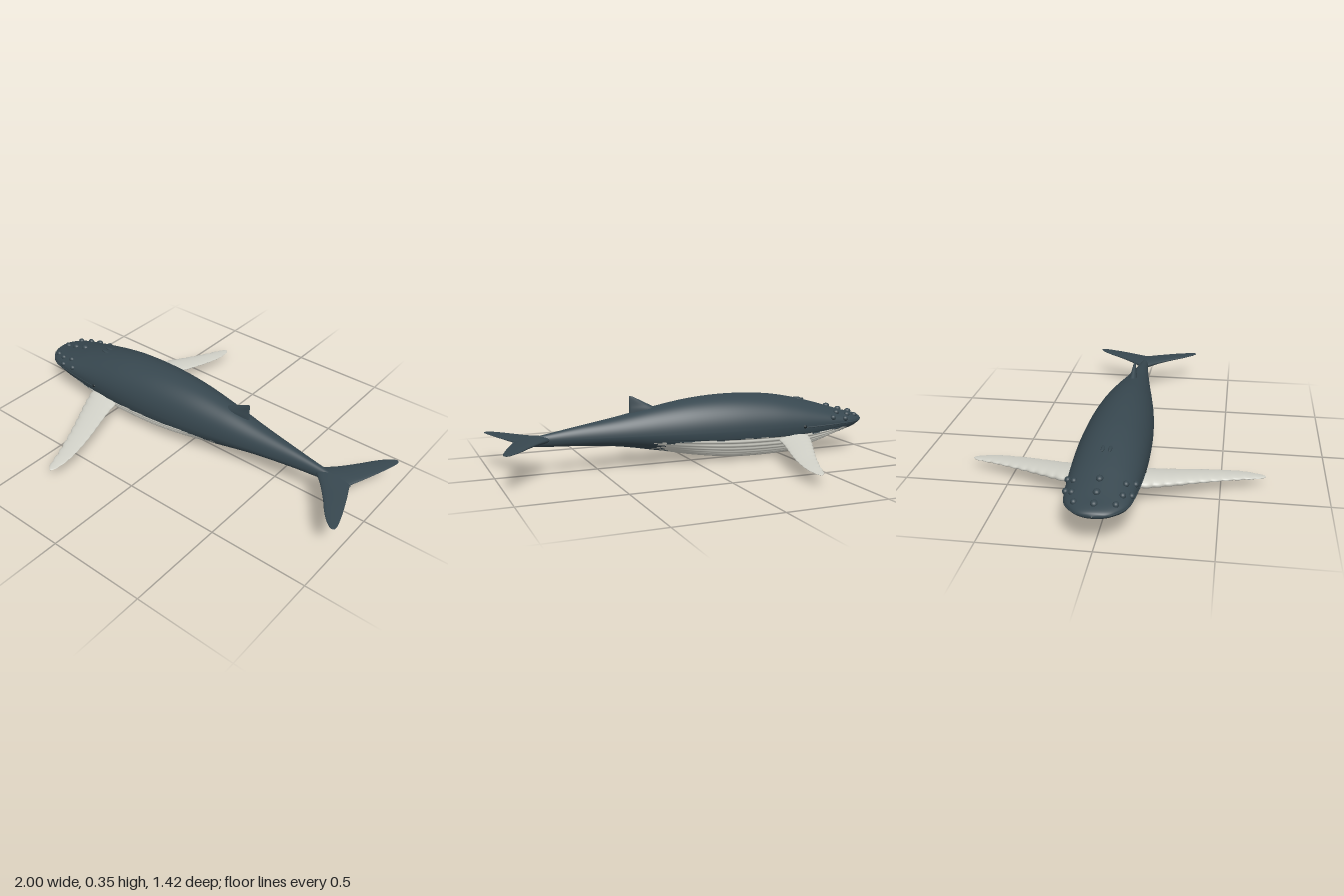
import * as THREE from 'three';

const slate = new THREE.MeshStandardMaterial({ color: 0x37474f, name: 'slate back' });
const pale = new THREE.MeshStandardMaterial({ color: 0xd0d0c7, name: 'pale belly' });
const dark = new THREE.MeshStandardMaterial({ color: 0x1b2529, name: 'dark eye' });

// Body stations: x, top, bottom, half width
const BODY = [
  [-1, 0.174, 0.17, 0.002], [-0.99, 0.188, 0.158, 0.055], [-0.96, 0.2, 0.143, 0.095],
  [-0.9, 0.215, 0.12, 0.135], [-0.8, 0.245, 0.088, 0.152], [-0.7, 0.275, 0.052, 0.16],
  [-0.55, 0.312, 0.016, 0.167], [-0.4, 0.335, 0.007, 0.168], [-0.2, 0.344, 0.013, 0.16],
  [0, 0.333, 0.04, 0.14], [0.2, 0.302, 0.08, 0.109], [0.4, 0.262, 0.115, 0.074],
  [0.6, 0.228, 0.132, 0.042], [0.73, 0.205, 0.139, 0.025], [0.84, 0.187, 0.15, 0.015],
  [0.91, 0.176, 0.172, 0.002],
];
const MID = 0.173;

// Fin sections: span, leading x, trailing x, half thickness, height
const FLIPPER = [
  [0.11, -0.62, -0.44, 0.027, 0.112], [0.17, -0.6, -0.43, 0.025, 0.106], [0.25, -0.565, -0.412, 0.021, 0.099],
  [0.4, -0.49, -0.367, 0.016, 0.085], [0.5, -0.443, -0.342, 0.012, 0.076], [0.6, -0.4, -0.326, 0.009, 0.068],
  [0.67, -0.375, -0.329, 0.006, 0.062], [0.7, -0.36, -0.337, 0.004, 0.06], [0.71, -0.348, -0.345, 0.001, 0.059],
];
const FLUKE = [
  [0, 0.72, 0.905, 0.02, 0.175], [0.03, 0.745, 0.916, 0.018, 0.175], [0.08, 0.795, 0.937, 0.013, 0.176],
  [0.16, 0.86, 0.967, 0.009, 0.177], [0.22, 0.903, 0.987, 0.006, 0.177], [0.265, 0.942, 0.999, 0.004, 0.177],
  [0.288, 0.97, 0.999, 0.003, 0.177], [0.295, 0.987, 0.99, 0.001, 0.177],
];
const DORSAL = [
  [0.25, 0.1, 0.335, 0.025], [0.29, 0.18, 0.332, 0.02], [0.315, 0.23, 0.331, 0.013],
  [0.345, 0.288, 0.331, 0.006], [0.362, 0.322, 0.332, 0.001],
];

// Smooth interpolation of every column of a table
function sample(table, t) {
  const f = t * (table.length - 1), i = Math.min(Math.floor(f), table.length - 2), u = f - i;
  const at = (k) => table[THREE.MathUtils.clamp(k, 0, table.length - 1)];
  return table[0].map((_, c) => {
    const [a, b, d, e] = [at(i - 1)[c], at(i)[c], at(i + 1)[c], at(i + 2)[c]];
    return b + 0.5 * u * (d - a + u * (2 * a - 5 * b + 4 * d - e + u * (3 * (b - d) + e - a)));
  });
}

// Joins closed rings of points; pick() chooses the material of each quad
function loft(rings, flip = false, pick = null) {
  const n = rings[0].length, faces = [[], []];
  for (let i = 0; i < rings.length - 1; i++) {
    for (let j = 0; j < n; j++) {
      const k = (j + 1) % n;
      const a = i * n + j, b = a + n, c = i * n + k, d = c + n;
      const tris = flip ? [a, c, b, b, c, d] : [a, b, c, b, d, c];
      faces[pick ? pick(rings[i][j], rings[i + 1][k], j) : 0].push(...tris);
    }
  }
  const g = new THREE.BufferGeometry();
  g.setAttribute('position', new THREE.Float32BufferAttribute(rings.flat(2), 3));
  g.setIndex(faces.flat());
  if (pick) {
    g.addGroup(0, faces[0].length, 0);
    g.addGroup(faces[0].length, faces[1].length, 1);
  }
  g.computeVertexNormals();
  return g;
}

// Lens-section fin; place() turns (x, span, thickness, height) into a point
function fin(table, steps, flip, place, knobs = 0) {
  const rings = [];
  for (let i = 0; i <= steps; i++) {
    const [s, lead, trail, thick, h = 0] = sample(table, i / steps);
    const bump = knobs * Math.abs(Math.sin(s * 62)) * Math.min(1, (trail - lead) / 0.06);
    const ring = [];
    for (let j = 0; j < 24; j++) {
      const a = (j / 24) * Math.PI * 2, u = (1 + Math.cos(a)) / 2;
      const x = THREE.MathUtils.lerp(lead - bump, trail + bump * 0.4, u);
      ring.push(place(x, s, thick * Math.sin(a) * (1.25 - 0.6 * u), h));
    }
    rings.push(ring);
  }
  return loft(rings, flip);
}

// Point on the body at x and ring angle (0 = left side, 90 degrees = top)
function surface(x, angle, lift = 0) {
  let lo = 0, hi = 1;
  for (let i = 0; i < 30; i++) {
    const m = (lo + hi) / 2;
    if (sample(BODY, m)[0] < x) lo = m; else hi = m;
  }
  const [, top, bottom, w] = sample(BODY, lo), s = Math.sin(angle);
  return new THREE.Vector3(x, MID + s * ((s > 0 ? top - MID : MID - bottom) + lift), Math.cos(angle) * (w + lift));
}

const noise = (n) => { const v = Math.sin(n * 127.1 + 11.7) * 43758.5453; return v - Math.floor(v); };

function bodyGeometry() {
  const UP = 36, DOWN = 120, LENGTH = 140, rings = [];
  for (let i = 0; i <= LENGTH; i++) {
    const [x, top, bottom, w] = sample(BODY, i / LENGTH);
    // Throat pleats fade in behind the chin and out along the belly
    const fade = THREE.MathUtils.smoothstep(x, -0.93, -0.75) * (1 - THREE.MathUtils.smoothstep(x, -0.1, 0.2));
    const ring = [];
    for (let j = 0; j < UP + DOWN; j++) {
      const a = j < UP ? (j / UP) * Math.PI : Math.PI * (1 + (j - UP) / DOWN);
      const s = Math.sin(a), c = Math.cos(a);
      const groove = s < -0.3 ? 1 - 0.04 * fade * (1 - Math.abs(Math.sin((a - Math.PI) * 20))) : 1;
      ring.push([x, MID + s * groove * (s > 0 ? top - MID : MID - bottom), c * w * groove]);
    }
    rings.push(ring);
  }
  // Pale belly with a ragged border
  const isBelly = (p, q, j) => {
    const x = (p[0] + q[0]) / 2, y = (p[1] + q[1]) / 2;
    if (j < UP) return 0;
    const side = Math.abs(Math.cos(Math.PI * (j - UP) / DOWN));
    const edge = 0.128 + 0.014 * THREE.MathUtils.smoothstep(-x, 0.65, 0.85) + 0.01 * (noise(Math.floor(x * 22)) - 0.5);
    const band = Math.floor(j / 3);
    const front = -0.88 + 0.06 * noise(band + 90);
    const rear = 0.1 + 0.08 * side + 0.09 * noise(band);
    return y < edge && x > front && x < rear ? 1 : 0;
  };
  return loft(rings, false, isBelly);
}

export function createModel() {
  const whale = new THREE.Group();
  whale.name = 'whale';
  const add = (name, geometry, material) => {
    const m = new THREE.Mesh(geometry, material);
    m.name = name;
    whale.add(m);
    return m;
  };
  const ball = new THREE.SphereGeometry(1, 16, 12);
  const blob = (name, p, sx, sy, sz, material = slate) => {
    const m = add(name, ball, material);
    m.position.copy(p);
    m.scale.set(sx, sy, sz);
  };

  add('body', bodyGeometry(), [slate, pale]);
  add('dorsalFin', fin(DORSAL, 16, false, (x, s, t) => [x, s, t]), slate);

  // Knobs along the crown
  for (const x of [-0.945, -0.88, -0.805]) blob('crownKnob', surface(x, Math.PI / 2), 0.019, 0.014, 0.016);

  for (const side of [1, -1]) {
    const word = side > 0 ? 'left' : 'right';
    const place = (x, s, t, h) => [x, h + t, s * side];
    add(word + 'Flipper', fin(FLIPPER, 110, side > 0, place, 0.007), pale);
    add(word + 'Fluke', fin(FLUKE, 30, side > 0, place), slate);

    // Knobs along the jaw and brow
    const mirror = (p) => p.setZ(p.z * side);
    for (const [x, a] of [[-0.93, 0.75], [-0.87, 0.72], [-0.8, 0.75], [-0.84, 0.3], [-0.76, 0.35]]) {
      blob(word + 'Knob', mirror(surface(x, a)), 0.016, 0.014, 0.014);
    }

    // Mouth line, eye and blowhole
    const lip = [];
    for (let i = 0; i <= 12; i++) lip.push(mirror(surface(-0.985 + i * 0.033, -0.06, -0.001)));
    add(word + 'Lip', new THREE.TubeGeometry(new THREE.CatmullRomCurve3(lip), 40, 0.004, 6), slate);
    blob(word + 'Eye', mirror(surface(-0.58, -0.03, -0.002)), 0.011, 0.009, 0.007, dark);
    blob(word + 'Blowhole', mirror(surface(-0.62, Math.PI / 2 - 0.1, -0.002)), 0.032, 0.007, 0.009);
  }
  return whale;
}
